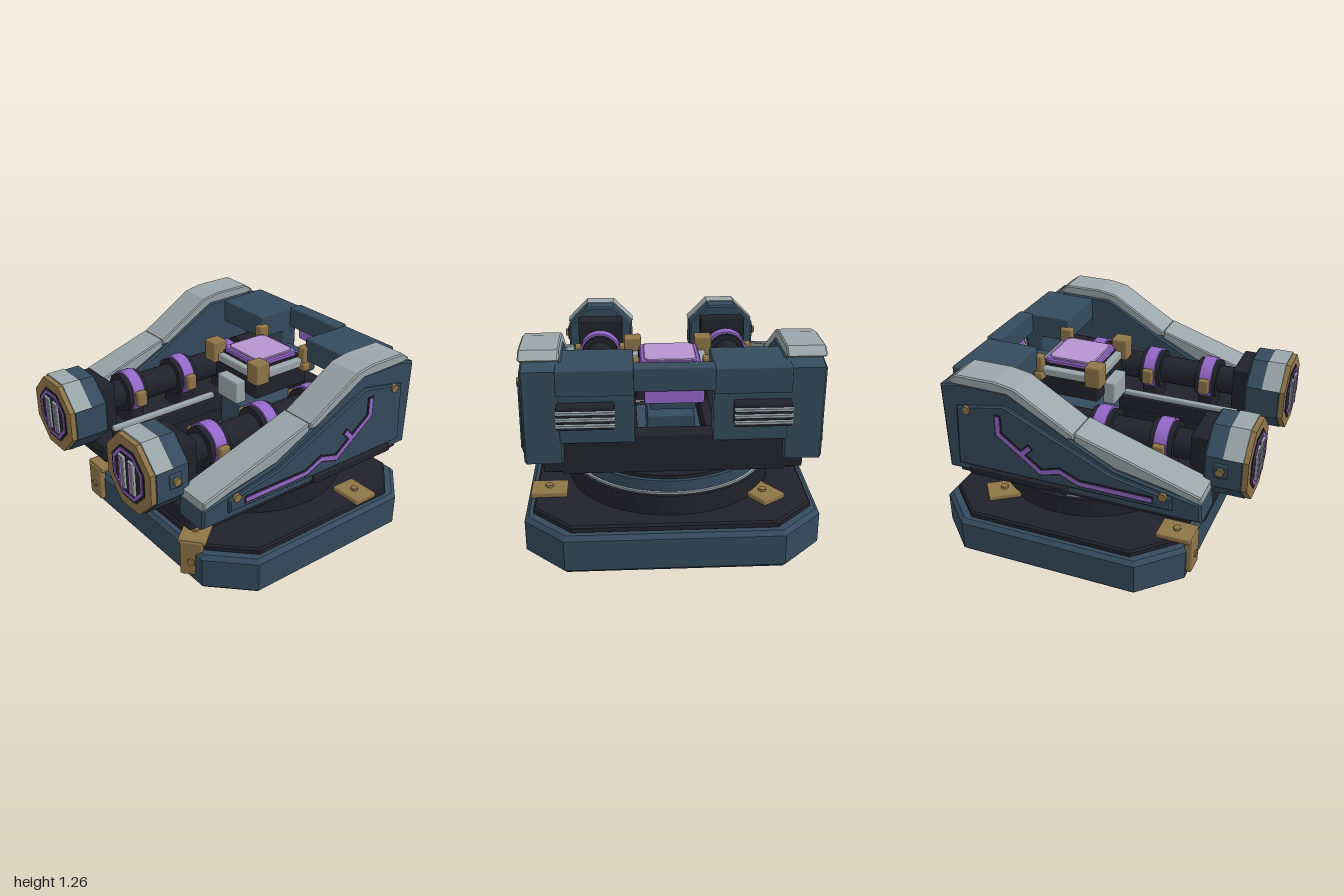
import * as THREE from 'three';
import { RoundedBoxGeometry } from 'three/addons/geometries/RoundedBoxGeometry.js';

export function createModel() {
  const root = new THREE.Group();
  root.name = 'twinBarrelTurret';
  const paint = (name, color) => {
    const m = new THREE.MeshStandardMaterial({ color });
    m.name = name;
    return m;
  };
  const blue = paint('slateBlue', 0x354b5d);
  const dark = paint('darkMetal', 0x22222c);
  const gray = paint('lightArmor', 0x9aa6a9);
  const gold = paint('brass', 0x8f7548);
  const purple = paint('purpleGlow', 0x9467c9);
  const lilac = paint('paleLilac', 0xb594d0);

  const add = (name, geo, mat, x = 0, y = 0, z = 0, parent = root) => {
    const m = new THREE.Mesh(geo, mat);
    m.name = name;
    m.position.set(x, y, z);
    parent.add(m);
    return m;
  };
  // Box given by its limits, with small softened edges
  const box = (name, mat, x0, x1, y0, y1, z0, z1, parent = root) => {
    const [w, h, d] = [Math.abs(x1 - x0), y1 - y0, z1 - z0];
    const r = Math.min(0.01, Math.min(w, h, d) * 0.25);
    return add(name, new RoundedBoxGeometry(w, h, d, 1, r), mat, (x0 + x1) / 2, (y0 + y1) / 2, (z0 + z1) / 2, parent);
  };
  const shapeOf = pts => new THREE.Shape(pts.map(p => new THREE.Vector2(p[0], p[1])));
  const extrude = (shape, depth, bevel = 0) => new THREE.ExtrudeGeometry(shape, {
    depth: depth - 2 * bevel, bevelEnabled: bevel > 0, bevelSize: bevel, bevelThickness: bevel,
    bevelOffset: -bevel, bevelSegments: 1, curveSegments: 8,
  }).translate(0, 0, bevel);
  // Profile in (z, y), extruded between two x values
  const profile = (name, mat, pts, xa, xb, bevel = 0) => {
    const g = extrude(shapeOf(pts), Math.abs(xb - xa), bevel).rotateY(-Math.PI / 2);
    return add(name, g, mat, Math.max(xa, xb));
  };
  // Plan with cut corners, extruded upward
  const plan = (name, mat, hx, z0, z1, cut, y0, y1, bevel) => {
    const pts = [[hx - cut, -z1], [hx, -z1 + cut], [hx, -z0 - cut], [hx - cut, -z0],
      [cut - hx, -z0], [-hx, -z0 - cut], [-hx, -z1 + cut], [cut - hx, -z1]];
    return add(name, extrude(shapeOf(pts), y1 - y0, bevel).rotateX(-Math.PI / 2), mat, 0, y0);
  };
  const octPts = (flat, from = 0, n = 8) => Array.from({ length: n }, (_, i) => {
    const a = Math.PI / 8 + (from + i) * Math.PI / 4, r = flat / Math.cos(Math.PI / 8);
    return [r * Math.cos(a), r * Math.sin(a)];
  });
  const oct = (flat, depth, bevel = 0) => extrude(shapeOf(octPts(flat)), depth, bevel);
  const octRing = (outer, inner, depth) => {
    const s = shapeOf(octPts(outer));
    s.holes.push(shapeOf(octPts(inner)));
    return extrude(s, depth);
  };
  const tubeZ = (r, z0, z1) => new THREE.CylinderGeometry(r, r, z1 - z0, 24).rotateX(Math.PI / 2).translate(0, 0, (z0 + z1) / 2);
  const hexBolt = r => new THREE.CylinderGeometry(r, r, 0.02, 6).toNonIndexed();

  // Base and turntable
  plan('basePlinth', blue, 0.875, -1, 0.635, 0.24, 0, 0.24, 0.025);
  plan('baseDeck', dark, 0.825, -0.945, 0.58, 0.23, 0.23, 0.28, 0.012);
  const disc = (name, mat, r, y0, y1) =>
    add(name, new THREE.CylinderGeometry(r, r, y1 - y0, 56), mat, 0, (y0 + y1) / 2, -0.215);
  disc('turntableFoot', dark, 0.63, 0.27, 0.405);
  disc('turntableTrim', gray, 0.61, 0.4, 0.417);
  disc('turntableDrum', blue, 0.595, 0.41, 0.485);
  disc('turntableTop', dark, 0.57, 0.48, 0.508);
  disc('turntableCap', blue, 0.5, 0.5, 0.515);

  // Brass hold-down brackets around the deck
  [[-0.55, 0.64, 0, 1], [0.53, 0.63, 0.7, 1], [0.83, -0.51, Math.PI / 2, 0], [-0.6, -0.7, Math.PI * 1.2, 0]].forEach(([x, z, turn, tab]) => {
    const b = new THREE.Group();
    b.name = 'baseBracket';
    b.position.set(x, 0, z);
    b.rotation.y = turn;
    root.add(b);
    box('bracketPlate', gold, -0.085, 0.085, 0.272, 0.31, -0.2, 0.02, b);
    add('bracketBolt', hexBolt(0.025), gold, 0, 0.315, -0.09, b);
    if (tab) {
      box('bracketTab', gold, -0.07, 0.07, 0.06, 0.3, -0.02, 0.03, b);
      add('bracketTabBolt', hexBolt(0.025).rotateX(Math.PI / 2), gold, 0, 0.16, 0.03, b);
    }
  });

  // Parts repeated on both sides
  for (const s of [1, -1]) {
    // Lower hull tray and skirt
    box('hullTray', dark, s * 0.21, s * 0.7, 0.52, 0.64, -0.74, 0.76);
    box('hullStep', dark, s * 0.6, s * 0.74, 0.555, 0.62, -0.8, 0.6);
    box('hullSkirt', dark, s * 0.66, s * 0.84, 0.6, 0.66, -0.74, 0.7);
    box('skirtBlock', dark, s * 0.83, s * 0.87, 0.61, 0.66, -0.66, -0.02);
    box('innerCurb', dark, s * 0.2, s * 0.26, 0.62, 0.72, -0.74, 0.68);
    box('guideRail', gray, s * 0.21, s * 0.25, 0.715, 0.75, -0.1, 0.68);

    // Side wall with raised panel
    profile('sideWall', blue, [[0.78, 0.615], [-0.81, 0.615], [-0.82, 1.17], [-0.7, 1.2], [-0.38, 1.2],
      [0.02, 0.97], [0.27, 0.84], [0.77, 0.735]], s * 0.62, s * 0.845, 0.012);
    profile('sidePanel', blue, [[0.61, 0.67], [-0.73, 0.67], [-0.71, 1.06], [-0.4, 1.12], [0.25, 0.82], [0.61, 0.75]],
      s * 0.83, s * 0.868, 0.01);
    // Armour plates over the wall
    profile('frontArmor', gray, [[0.77, 0.735], [0.77, 0.785], [0.03, 1.025], [0.02, 0.975], [0.27, 0.85], [0.57, 0.79]],
      s * 0.63, s * 0.848, 0.008);
    profile('rearArmor', gray, [[0.03, 0.99], [0.02, 1.02], [-0.33, 1.235], [-0.45, 1.257], [-0.7, 1.257], [-0.76, 1.215],
      [-0.72, 1.195], [-0.38, 1.19], [-0.02, 0.985]], s * 0.63, s * 0.855, 0.008);
    // Glowing circuit line on its dark backing
    const path = [[0.49, 0.72], [0.06, 0.72], [-0.06, 0.772], [-0.18, 0.738], [-0.3, 0.83], [-0.44, 0.935], [-0.44, 1.04]];
    const stroke = (name, mat, a, b, w, x) => {
      const len = Math.hypot(b[0] - a[0], b[1] - a[1]) + w * 0.7;
      add(name, new THREE.BoxGeometry(0.006, w, len), mat, s * x, (a[1] + b[1]) / 2, (a[0] + b[0]) / 2)
        .rotation.x = -Math.atan2(b[1] - a[1], b[0] - a[0]);
    };
    const lines = path.slice(1).map((p, i) => [path[i], p]);
    lines.push([[-0.3, 0.83], [-0.25, 0.88]]);
    for (const [a, b] of lines) {
      stroke('circuitGroove', dark, a, b, 0.046, 0.869);
      stroke('circuitGlow', purple, a, b, 0.026, 0.872);
    }
    for (const [z, y] of [[0.56, 0.755], [-0.64, 1.05]])
      add('sideBolt', hexBolt(0.027).rotateZ(Math.PI / 2), gold, s * 0.868, y, z);

    // Rear bridge, wall and vents
    box('rearBridge', blue, s * 0.22, s * 0.65, 1.035, 1.19, -0.855, -0.505);
    box('rearWall', blue, s * 0.22, s * 0.64, 0.74, 1.06, -0.82, -0.7);
    box('ventFrame', dark, s * 0.33, s * 0.65, 0.85, 0.99, -0.89, -0.81);
    for (const y of [0.882, 0.92, 0.958])
      box('ventSlat', gray, s * 0.325, s * 0.655, y - 0.009, y + 0.009, -0.912, -0.875);

    // Barrel assembly
    const gun = new THREE.Group();
    gun.name = 'barrel';
    gun.position.set(s * 0.433, 0.847, 0);
    root.add(gun);
    add('barrelTube', tubeZ(0.09, -0.6, 0.65), dark, 0, 0, 0, gun);
    add('barrelRearSleeve', tubeZ(0.13, -0.62, -0.46), dark, 0, 0, 0, gun);
    for (const z of [0.43, 0.04, -0.36]) {
      add('barrelCollar', tubeZ(0.125, z - 0.07, z + 0.07), dark, 0, 0, 0, gun);
      add('barrelGlowRing', tubeZ(0.138, z - 0.04, z + 0.04), purple, 0, 0, 0, gun);
      for (const k of [-1, 1]) box('ringClamp', gold, k * 0.13, k * 0.172, -0.05, 0.05, z - 0.035, z + 0.035, gun);
      box('barrelSaddle', dark, -0.1, 0.1, -0.22, -0.08, z - 0.05, z + 0.05, gun);
    }
    box('breechBlock', dark, -0.155, 0.155, -0.15, 0.16, 0.62, 0.74, gun);
    // Octagonal muzzle housing
    add('muzzleHousing', oct(0.226, 0.23, 0.012), blue, 0, 0, 0.72, gun);
    const hood = shapeOf([...octPts(0.232, 0, 4), ...octPts(0.2, 0, 4).reverse()]);
    add('muzzleHood', extrude(hood, 0.115), gray, 0, 0, 0.83, gun);
    add('muzzleRing', octRing(0.222, 0.16, 0.035), gold, 0, 0, 0.94, gun);
    add('muzzleCore', oct(0.162, 0.04), dark, 0, 0, 0.94, gun);
    add('muzzleGlow', octRing(0.148, 0.128, 0.006), purple, 0, 0, 0.979, gun);
    for (const k of [-1, 1]) {
      box('muzzleBar', gray, k * 0.018, k * 0.08, -0.105, 0.105, 0.97, 0.993, gun);
      box('muzzleBarGlow', lilac, k * 0.034, k * 0.058, -0.1, 0.1, 0.99, 0.998, gun);
    }
    add('muzzleBolt', hexBolt(0.025).rotateZ(Math.PI / 2), gold, s * 0.245, 0.015, 0.82, gun);
    box('muzzleBoltBoss', blue, s * 0.21, s * 0.238, -0.03, 0.06, 0.78, 0.86, gun);
  }

  // Rear centre: cross beam, top beam and lamp
  box('rearCrossBeam', dark, -0.64, 0.64, 0.54, 0.775, -0.8, -0.68);
  box('topBeam', blue, -0.225, 0.225, 1.06, 1.2, -0.862, -0.765);
  box('rearLamp', purple, -0.165, 0.165, 0.98, 1.06, -0.842, -0.8);

  // Central pedestal and glowing pad
  box('pedestalColumn', blue, -0.14, 0.14, 0.51, 0.77, -0.52, -0.1);
  box('pedestalArm', blue, -0.13, 0.13, 0.88, 0.99, -0.69, -0.48);
  box('pedestalBody', dark, -0.21, 0.21, 0.87, 1.0, -0.53, -0.11);
  box('pedestalFrame', gray, -0.23, 0.23, 1.0, 1.055, -0.54, -0.1);
  box('padSeat', dark, -0.185, 0.185, 1.05, 1.07, -0.5, -0.14);
  plan('padRim', purple, 0.178, -0.49, -0.142, 0.03, 1.06, 1.095, 0.008);
  plan('padFace', lilac, 0.155, -0.467, -0.165, 0.028, 1.09, 1.104, 0.005);
  box('frontSensor', gray, -0.1, 0.1, 0.81, 0.96, -0.12, -0.04);
  for (const s of [1, -1]) {
    box('frontPadClamp', gold, s * 0.165, s * 0.27, 0.995, 1.135, -0.17, -0.065);
    box('rearPadClamp', gold, s * 0.185, s * 0.245, 0.98, 1.135, -0.55, -0.47);
    box('rearClampFoot', gold, s * 0.2, s * 0.265, 0.98, 1.03, -0.52, -0.46);
  }
  return root;
}
